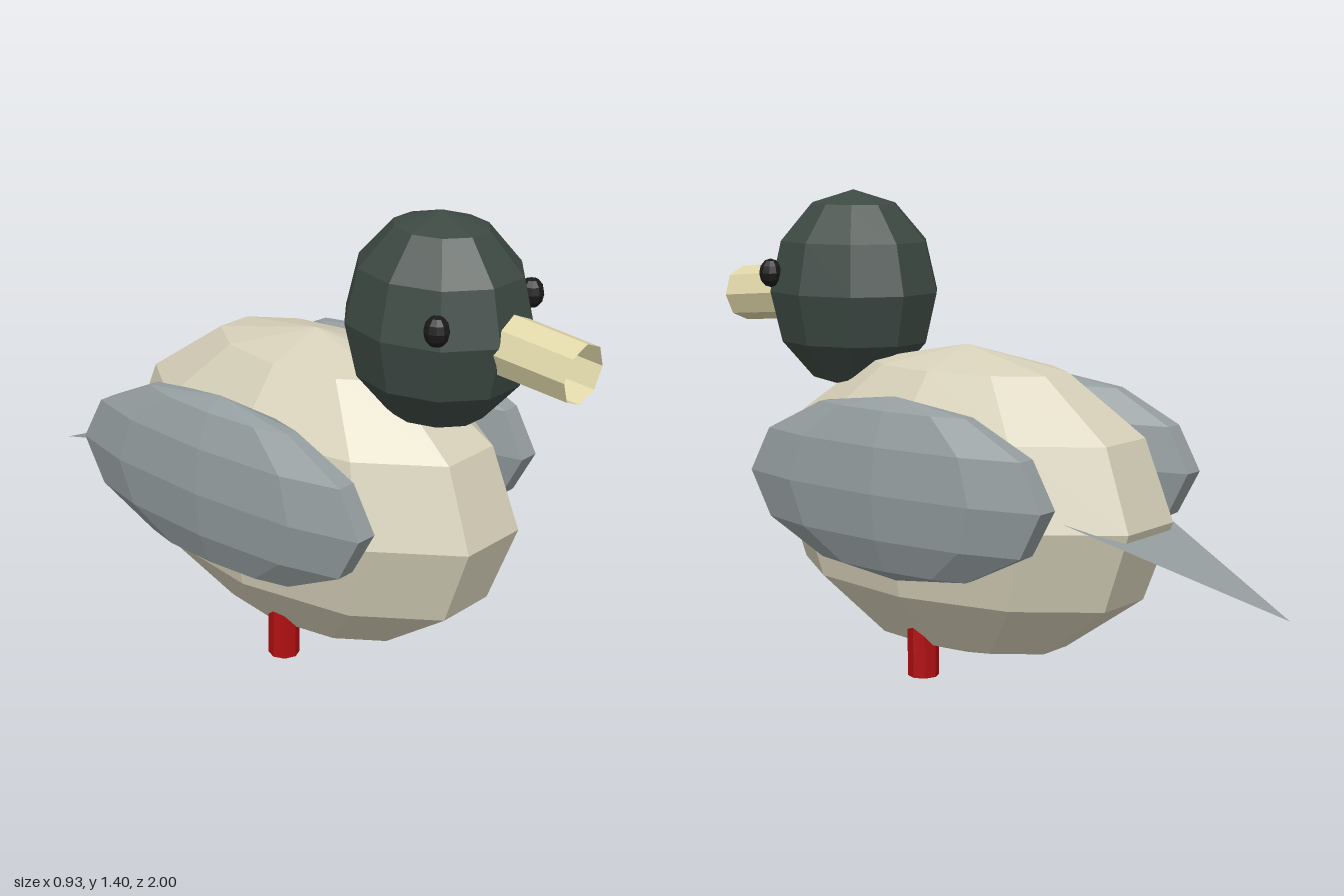
import * as THREE from 'three';

const mat = (name, color, side = THREE.FrontSide) => {
  const m = new THREE.MeshStandardMaterial({ color, flatShading: true, side });
  m.name = name;
  return m;
};

export function createModel() {
  const group = new THREE.Group();
  const cream = mat('cream', 0xd6d0b9);
  const darkGreen = mat('darkGreen', 0x3d4943);
  const grey = mat('grey', 0x939c9e, THREE.DoubleSide);
  const straw = mat('straw', 0xdfd6a8, THREE.DoubleSide);
  const red = mat('red', 0xb01012);
  const black = mat('black', 0x1a1a1a);

  const add = (name, geometry, material, x, y, z) => {
    const mesh = new THREE.Mesh(geometry, material);
    mesh.name = name;
    mesh.position.set(x, y, z);
    group.add(mesh);
    return mesh;
  };

  // Faceted egg shapes share one ten-sided, six-band sphere
  const egg = (rx, ry, rz) => new THREE.SphereGeometry(1, 10, 6).scale(rx, ry, rz);

  add('body', egg(0.36, 0.465, 0.683), cream, 0, 0.5, 0.09);
  add('head', egg(0.245, 0.303, 0.275), darkGreen, 0, 1.097, 0.527);

  // Open tube beak, tipped slightly downwards
  const beakLength = 0.35;
  const beakGeometry = new THREE.CylinderGeometry(0.085, 0.088, beakLength, 8, 1, true)
    .translate(0, -beakLength / 2, 0)
    .rotateX(Math.PI / 2 + 0.09);
  add('beak', beakGeometry, straw, 0, 1.06, 0.995);

  // Paired parts
  for (const [side, s] of [['left', 1], ['right', -1]]) {
    add(side + 'Wing', egg(0.105, 0.2625, 0.557), grey, s * 0.36, 0.593, 0.06);
    add(side + 'Eye', egg(0.034, 0.043, 0.036), black, s * 0.204, 1.154, 0.68);
    add(side + 'Leg', new THREE.CylinderGeometry(0.046, 0.046, 0.2, 8), red, s * 0.17, 0.1, 0.12);
  }

  // Flat triangular tail, drooping towards its tip
  const tailShape = new THREE.Shape([
    new THREE.Vector2(0, 0),
    new THREE.Vector2(0.235, -0.7),
    new THREE.Vector2(-0.235, -0.7),
  ]);
  const tail = add('tail', new THREE.ShapeGeometry(tailShape), grey, 0, 0.31, -1);
  tail.rotation.x = -Math.PI / 2 - 0.355;

  return group;
}
